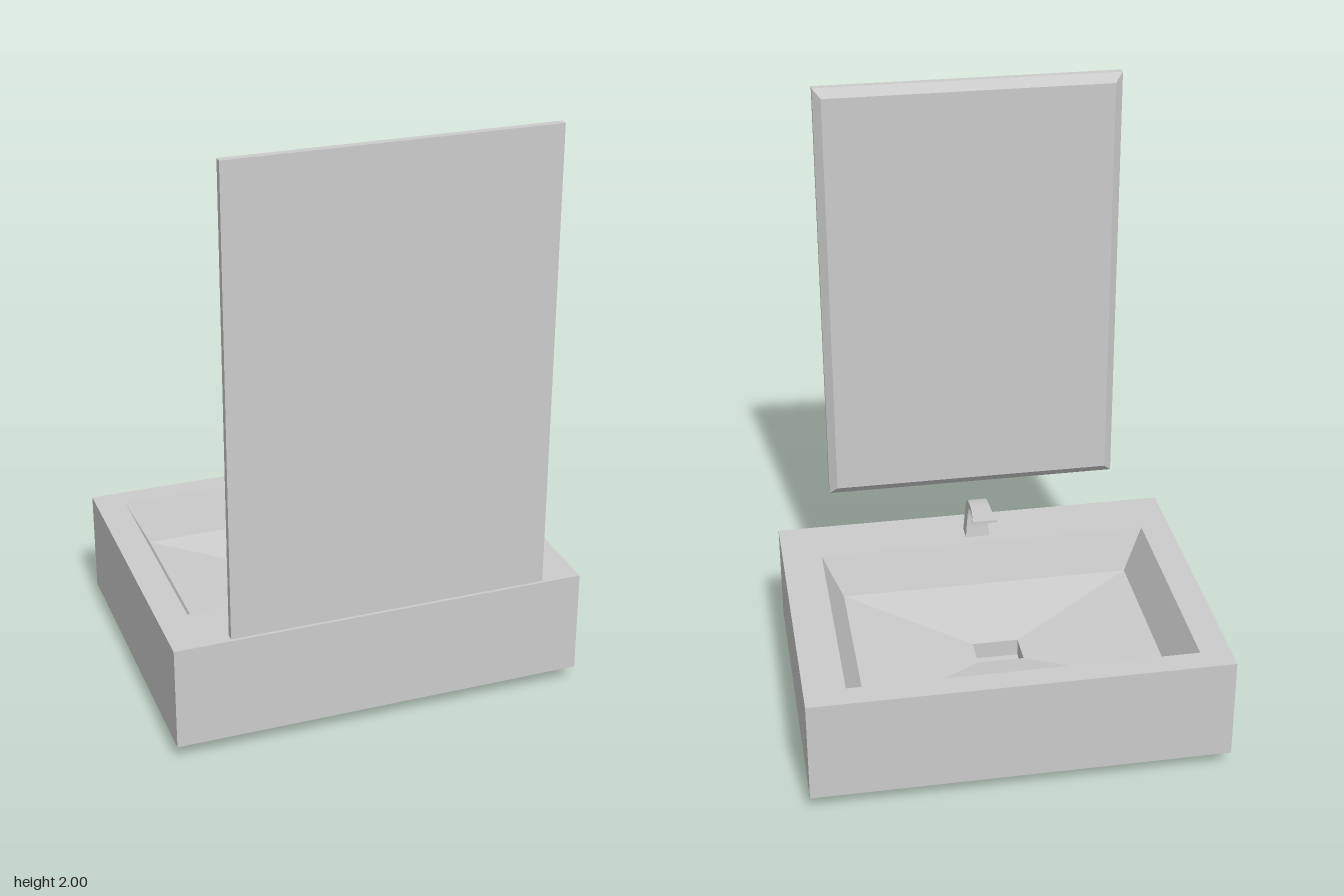
import * as THREE from 'three';
import { toCreasedNormals } from 'three/addons/utils/BufferGeometryUtils.js';

// Skin a row of four-cornered sections (counter-clockwise seen from the row's end), closed at both ends
function loft(sections, crease = 0.1) {
  const pos = [];
  const quad = (a, b, c, d) => pos.push(...a, ...b, ...c, ...a, ...c, ...d);
  for (let s = 0; s < sections.length - 1; s++) {
    const a = sections[s], b = sections[s + 1];
    for (let i = 0; i < 4; i++) {
      const j = (i + 1) % 4;
      quad(a[i], a[j], b[j], b[i]);
    }
  }
  quad(...[...sections[0]].reverse());
  quad(...sections[sections.length - 1]);
  const geo = new THREE.BufferGeometry();
  geo.setAttribute('position', new THREE.Float32BufferAttribute(pos, 3));
  return toCreasedNormals(geo, crease);
}

// Rectangular sections: level at height y, or upright at depth z
const level = ([x0, x1, z0, z1, y]) => [[x0, y, z1], [x1, y, z1], [x1, y, z0], [x0, y, z0]];
const upright = ([x0, x1, y0, y1, z]) => [[x0, y0, z], [x1, y0, z], [x1, y1, z], [x0, y1, z]];

export function createModel() {
  const model = new THREE.Group();
  model.name = 'washbasinWithMirror';
  const material = new THREE.MeshStandardMaterial({ color: 0xcccccc });
  const add = (name, geometry) => {
    const mesh = new THREE.Mesh(geometry, material);
    mesh.name = name;
    model.add(mesh);
  };

  // Basin: tapered pan, outer block, rim, sloping bowl and square drain in one skin
  add('basin', loft([
    [-0.54, 0.50, -0.48, 0.25, 0],
    [-0.587, 0.553, -0.512, 0.284, 0.056],
    [-0.69, 0.69, -0.597, 0.48, 0.056],
    [-0.69, 0.69, -0.597, 0.48, 0.407],
    [-0.59, 0.555, -0.515, 0.281, 0.407],
    [-0.52, 0.487, -0.469, 0.236, 0.262],
    [-0.078, 0.078, -0.168, -0.057, 0.21],
    [-0.078, 0.078, -0.168, -0.057, 0.15],
  ].map(level), 0.01));

  // Mirror: flat plate with a bevelled edge toward the basin
  add('mirror', loft([
    [-0.512, 0.468, 0.52, 1.97, 0.549],
    [-0.54, 0.495, 0.49, 2, 0.573],
    [-0.54, 0.495, 0.49, 2, 0.597],
  ].map(upright)));

  // Faucet: outer and inner profile points as (half width, y, z), from foot to spout tip
  const outer = new THREE.CatmullRomCurve3([
    [0.042, 0.405, 0.383], [0.037, 0.46, 0.381], [0.034, 0.51, 0.373], [0.033, 0.544, 0.347],
    [0.033, 0.558, 0.30], [0.035, 0.561, 0.235], [0.042, 0.562, 0.163],
  ].map(p => new THREE.Vector3(...p)));
  const inner = new THREE.CatmullRomCurve3([
    [0.042, 0.405, 0.322], [0.037, 0.46, 0.327], [0.034, 0.502, 0.326], [0.033, 0.528, 0.316],
    [0.033, 0.545, 0.286], [0.035, 0.55, 0.235], [0.042, 0.553, 0.163],
  ].map(p => new THREE.Vector3(...p)));
  const innerPoints = inner.getPoints(30);
  const cx = -0.003;
  add('faucet', loft(outer.getPoints(30).map((o, k) => {
    const n = innerPoints[k];
    return [[cx - o.x, o.y, o.z], [cx + o.x, o.y, o.z], [cx + n.x, n.y, n.z], [cx - n.x, n.y, n.z]];
  }), 0.6));

  return model;
}
